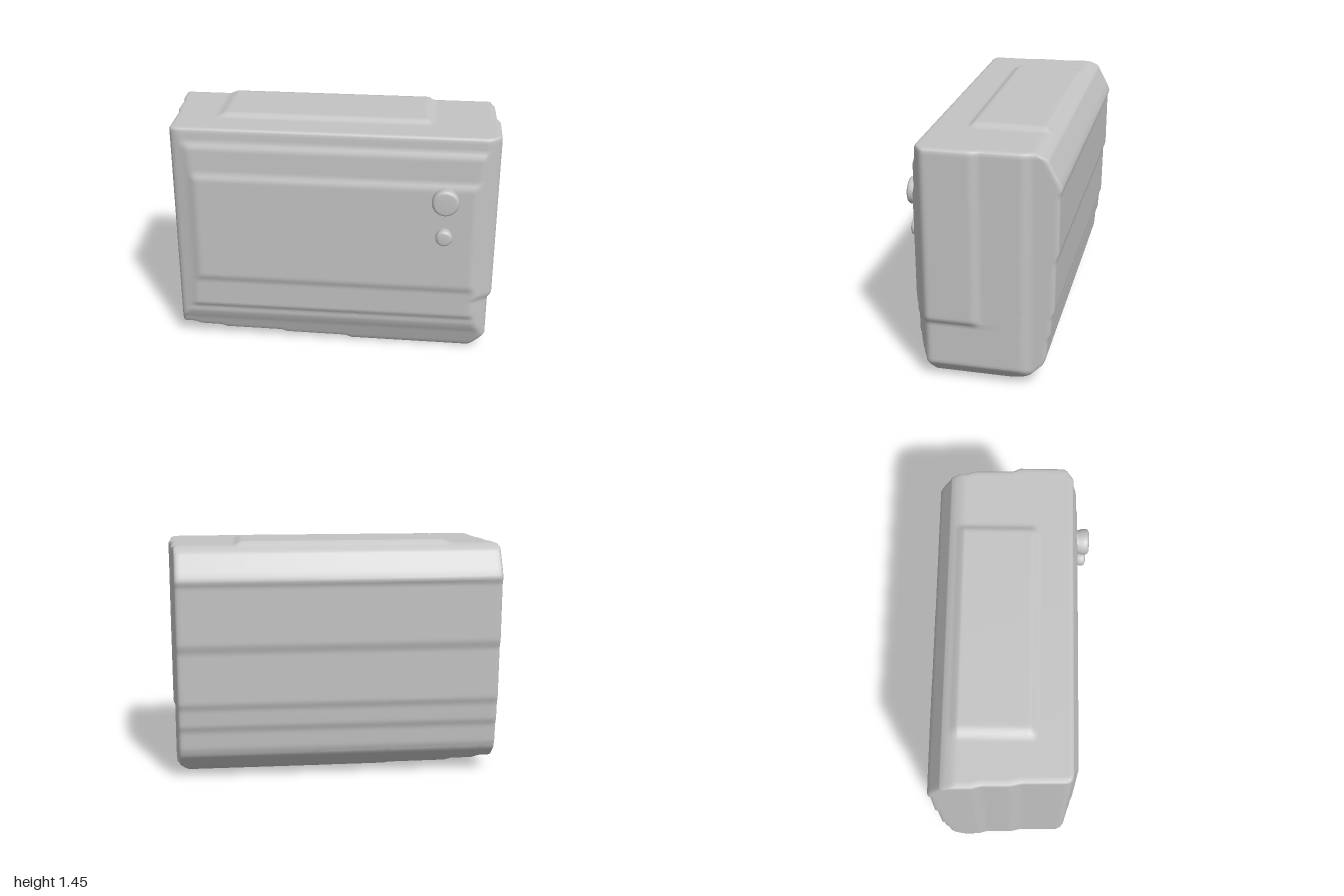
import * as THREE from 'three';
import { mergeVertices } from 'three/addons/utils/BufferGeometryUtils.js';

// Piecewise linear lookup through [position, value] pairs
function curve(points) {
  return (t) => {
    if (t <= points[0][0]) return points[0][1];
    for (let i = 1; i < points.length; i++) {
      const [a, va] = points[i - 1], [b, vb] = points[i];
      if (t <= b) return va + ((vb - va) * (t - a)) / (b - a);
    }
    return points[points.length - 1][1];
  };
}

const { lerp, clamp, smoothstep } = THREE.MathUtils;
const TOP = 1.43, EDGE = 0.02;

// Side profile: front and back depth by height
const frontZ = curve([[0, 0.28], [0.03, 0.295], [0.13, 0.33], [0.16, 0.345], [0.2, 0.36], [0.235, 0.36],
  [0.26, 0.377], [0.43, 0.381], [0.47, 0.395], [1.12, 0.395], [1.16, 0.38], [1.31, 0.375], [1.35, 0.358], [1.43, 0.354]]);
const backZ = curve([[0, -0.12], [0.025, -0.22], [0.04, -0.26], [0.15, -0.37], [0.2, -0.387], [0.31, -0.395],
  [0.35, -0.41], [0.45, -0.416], [0.49, -0.43], [0.8, -0.435], [0.85, -0.45], [1.2, -0.452], [1.23, -0.465],
  [1.27, -0.45], [1.4, -0.38], [1.43, -0.32]]);
// Limit of the stepped front panels towards the sides
const frontLimit = curve([[-1, 0.33], [-0.98, 0.345], [-0.9, 0.37], [-0.87, 0.383], [-0.85, 0.395],
  [0.86, 0.395], [0.9, 0.375], [0.93, 0.355], [1, 0.305]]);
// Side widths by depth
const leftX = curve([[-0.46, 0.95], [-0.3, 0.955], [-0.25, 0.975], [-0.01, 0.98], [0.03, 1]]);
const rightX = curve([[-0.46, -1], [-0.21, -0.995], [-0.16, -0.98], [0, -0.978], [0.06, -0.963], [0.33, -0.957]]);
// Stepped underside
const bottomY = curve([[-0.92, 0.08], [-0.88, 0.062], [-0.74, 0.06], [-0.7, 0.045], [-0.32, 0.043],
  [-0.28, 0.028], [0.13, 0.024], [0.18, 0.004], [1, 0]]);

function bodyGeometry() {
  const half = new THREE.Vector3(1, TOP / 2, 0.43);
  let g = new THREE.BoxGeometry(2, TOP, 0.86, 100, 90, 44);
  g.deleteAttribute('uv');
  g.deleteAttribute('normal');
  g = mergeVertices(g);
  const pos = g.attributes.position;
  const p = new THREE.Vector3(), core = new THREE.Vector3();
  const inner = half.clone().subScalar(EDGE), low = inner.clone().negate();
  for (let i = 0; i < pos.count; i++) {
    // Soften the box edges
    p.fromBufferAttribute(pos, i);
    core.copy(p).clamp(low, inner);
    p.sub(core).setLength(EDGE).add(core);
    const v = (p.y + half.y) / TOP, w = (p.z + half.z) / 0.86;
    // Fit the box between the stepped faces
    let y = lerp(bottomY(p.x), TOP, v);
    const z = lerp(backZ(y), Math.min(frontZ(y), frontLimit(p.x)), w);
    let xl = leftX(z);
    if (y < 0.4) xl = Math.min(xl, lerp(0.977, 1, clamp((y - 0.37) / 0.03, 0, 1)));
    xl = Math.min(xl, 0.88 + 0.95 * y);
    const x = lerp(rightX(z), xl, (p.x + 1) / 2);
    // Raised lid plate
    if (v > 0.99) {
      y += 0.022 * smoothstep(x, -0.72, -0.65) * (1 - smoothstep(x, 0.56, 0.6))
        * smoothstep(z, -0.34, -0.3) * (1 - smoothstep(z, 0.11, 0.15));
    }
    pos.setXYZ(i, x, y, z);
  }
  g.computeVertexNormals();
  return g;
}

// Round button with a softened rim, facing the front
function button(name, y, radius, front, material) {
  const back = 0.37, b = 0.018, length = front - back;
  const profile = [[radius - 0.006, 0], [radius - 0.006, 0.04], [radius, 0.05], [radius, length - b],
    [radius - b * 0.3, length - b * 0.3], [radius - b, length], [0, length]];
  const g = new THREE.LatheGeometry(profile.map(([r, h]) => new THREE.Vector2(r, h)), 24);
  g.rotateX(Math.PI / 2);
  const mesh = new THREE.Mesh(g, material);
  mesh.name = name;
  mesh.position.set(0.69, y, back);
  return mesh;
}

export function createModel() {
  const grey = new THREE.MeshStandardMaterial({ color: 0xc4c4c4 });
  grey.name = 'light grey';
  const model = new THREE.Group();
  model.name = 'steppedCase';
  const body = new THREE.Mesh(bodyGeometry(), grey);
  body.name = 'body';
  model.add(body,
    button('largeButton', 1.06, 0.08, 0.468, grey),
    button('smallButton', 0.83, 0.05, 0.46, grey));
  return model;
}
